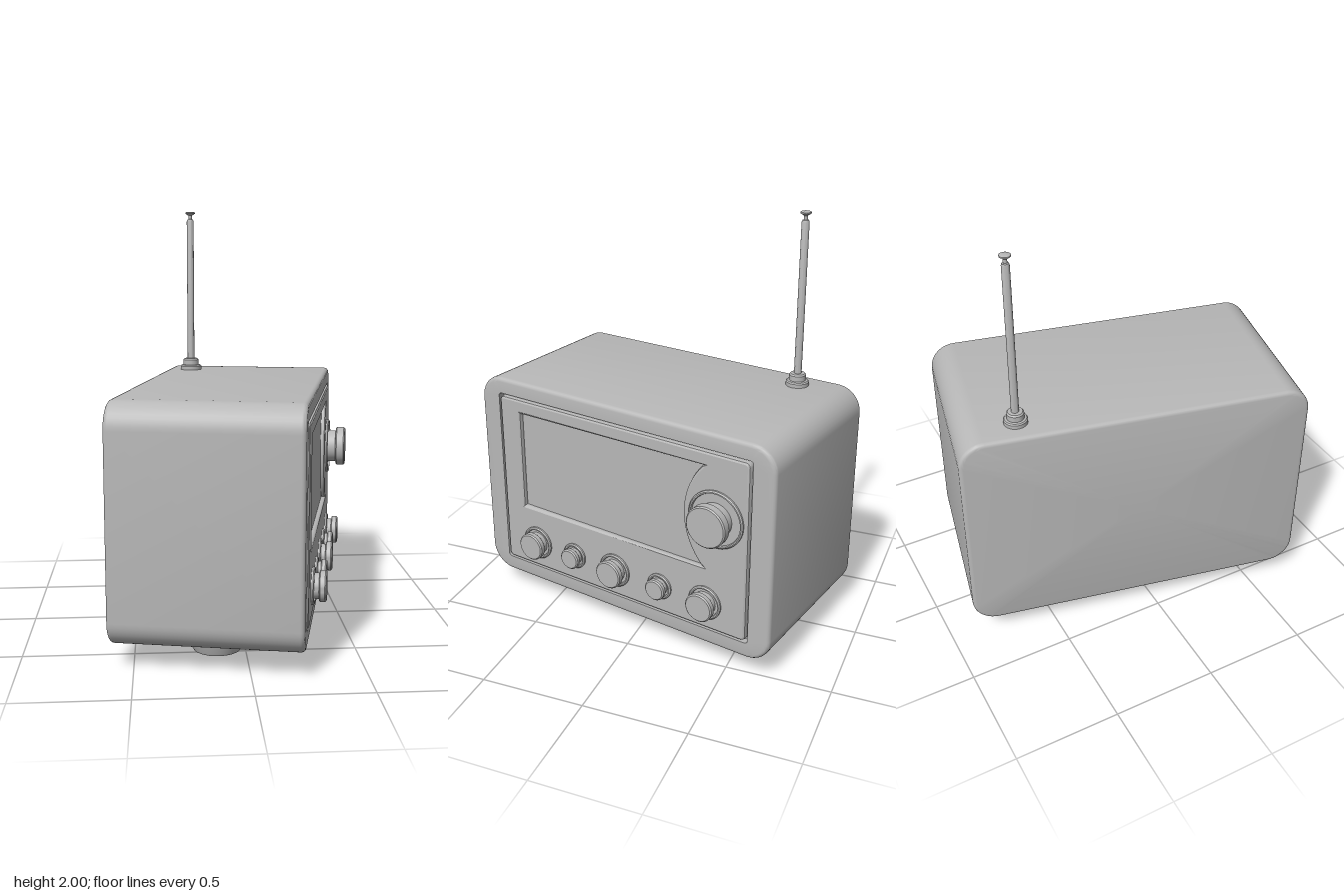
import * as THREE from 'three';
import { toCreasedNormals } from 'three/addons/utils/BufferGeometryUtils.js';

const grey = new THREE.MeshStandardMaterial({ color: 0xb8b8b8 });
grey.name = 'plain grey';

function part(name, geometry, parent, x = 0, y = 0, z = 0) {
  const mesh = new THREE.Mesh(toCreasedNormals(geometry, 0.5), grey);
  mesh.name = name;
  mesh.position.set(x, y, z);
  parent.add(mesh);
  return mesh;
}

// Outline of a rounded rectangle, counter-clockwise
function roundedRect(hw, hh, r, steps = 10) {
  const pts = [];
  [[1, 1], [-1, 1], [-1, -1], [1, -1]].forEach(([sx, sy], k) => {
    for (let i = 0; i <= steps; i++) {
      const a = (k + i / steps) * Math.PI / 2;
      pts.push(new THREE.Vector2(sx * (hw - r) + r * Math.cos(a), sy * (hh - r) + r * Math.sin(a)));
    }
  });
  return pts;
}

// Closed loft through rounded-rectangle rings [halfWidth, halfHeight, radius, z]
function loft(rings) {
  const pos = [], idx = [];
  let n = 0;
  for (const [hw, hh, r, z] of rings) {
    const loop = roundedRect(hw, hh, r);
    n = loop.length;
    loop.forEach(p => pos.push(p.x, p.y, z));
  }
  const last = rings.length - 1, back = rings.length * n, front = back + 1;
  pos.push(0, 0, rings[0][3], 0, 0, rings[last][3]);
  for (let j = 0; j < n; j++) {
    const k = (j + 1) % n;
    for (let i = 0; i < last; i++) {
      const a = i * n + j, b = i * n + k;
      idx.push(a, b, b + n, a, b + n, a + n);
    }
    idx.push(back, k, j, front, last * n + j, last * n + k);
  }
  const g = new THREE.BufferGeometry();
  g.setAttribute('position', new THREE.Float32BufferAttribute(pos, 3));
  g.setIndex(idx);
  return g;
}

// Turned part from [radius, height] pairs, listed upwards
const turned = (points, sides = 48) =>
  new THREE.LatheGeometry(points.map(([r, h]) => new THREE.Vector2(r, h)), sides);

// Screen outline: a rectangle whose right side is scooped out by an arc
function screenOutline() {
  const pts = [[0.49, 0.385], [-0.59, 0.385], [-0.59, -0.135], [0.49, -0.135]]
    .map(([x, y]) => new THREE.Vector2(x, y));
  const R = 0.356, half = Math.asin(0.26 / R), cx = 0.49 + R * Math.cos(half);
  for (let i = 1; i < 20; i++) {
    const a = Math.PI + half - 2 * half * i / 20;
    pts.push(new THREE.Vector2(cx + R * Math.cos(a), 0.125 + R * Math.sin(a)));
  }
  return pts;
}

export function createModel() {
  const model = new THREE.Group();
  const radio = new THREE.Group();
  radio.name = 'radio';
  radio.position.x = -0.03;
  radio.rotation.y = THREE.MathUtils.degToRad(78);
  model.add(radio);

  // Cabinet with softened edges and a shallow pocket for the front panel
  const W = 0.823, H = 0.535, D = 0.425, R = 0.12, f = 0.02, rings = [];
  for (let i = 0; i <= 4; i++) {
    const a = i * Math.PI / 8, inset = f * (1 - Math.sin(a));
    rings.push([W - inset, H - inset, R - inset, -D + f * (1 - Math.cos(a))]);
  }
  for (let i = 4; i >= 0; i--) {
    const [w, h, r, z] = rings[i];
    rings.push([w, h, r, -z]);
  }
  rings.push([0.712, 0.457, 0.015, D], [0.712, 0.457, 0.015, 0.39]);
  part('cabinet', loft(rings), radio, 0, 0.635, 0);

  // Front panel with a bevelled screen opening
  const panel = new THREE.Shape(roundedRect(0.69, 0.435, 0.012, 4));
  panel.holes.push(new THREE.Path(screenOutline()));
  part('frontPanel', new THREE.ExtrudeGeometry(panel, {
    depth: 0.01, bevelThickness: 0.016, bevelSize: 0.012, bevelSegments: 2,
  }), radio, 0, 0.635, 0.406);
  part('screen', new THREE.ShapeGeometry(new THREE.Shape(screenOutline())), radio, 0, 0.635, 0.41);

  // Knobs: collar, neck and cap; r is the cap radius, h the height
  const knob = (name, x, y, collar, r, h) => {
    part(name, turned([
      [collar, -0.01], [collar, 0.008], [collar - 0.006, 0.013], [collar - 0.012, 0.013],
      [collar - 0.015, 0.004], [r * 0.82, 0.004], [r * 0.82, h * 0.5], [r * 0.95, h * 0.52],
      [r, h * 0.58], [r, h - 0.006], [r - 0.006, h], [0, h],
    ]), radio, x, y, 0.432).rotation.x = Math.PI / 2;
  };
  knob('tuningKnob', 0.54, 0.77, 0.14, 0.1, 0.097);
  [-0.5, -0.265, -0.02, 0.24, 0.49].forEach((x, i) => {
    const small = i % 2 === 1;
    knob('controlKnob' + (i + 1), x, 0.325, small ? 0.065 : 0.085, small ? 0.052 : 0.07, small ? 0.052 : 0.065);
  });

  // Telescopic antenna near the back
  part('antenna', turned([
    [0.055, 1.165], [0.055, 1.188], [0.05, 1.194], [0.04, 1.196], [0.04, 1.222], [0.034, 1.229],
    [0.018, 1.23], [0.018, 1.95], [0.015, 1.96], [0.009, 1.962], [0.009, 1.98],
    [0.025, 1.991], [0.025, 1.997], [0.018, 2], [0, 2],
  ], 32), radio, 0.54, 0, -0.3);

  // Two tapered feet
  for (const s of [-1, 1]) {
    part(s < 0 ? 'leftFoot' : 'rightFoot', turned([
      [0, 0], [0.102, 0], [0.109, 0.003], [0.114, 0.012], [0.135, 0.105],
    ]), radio, s * 0.465, 0, 0);
  }
  return model;
}
